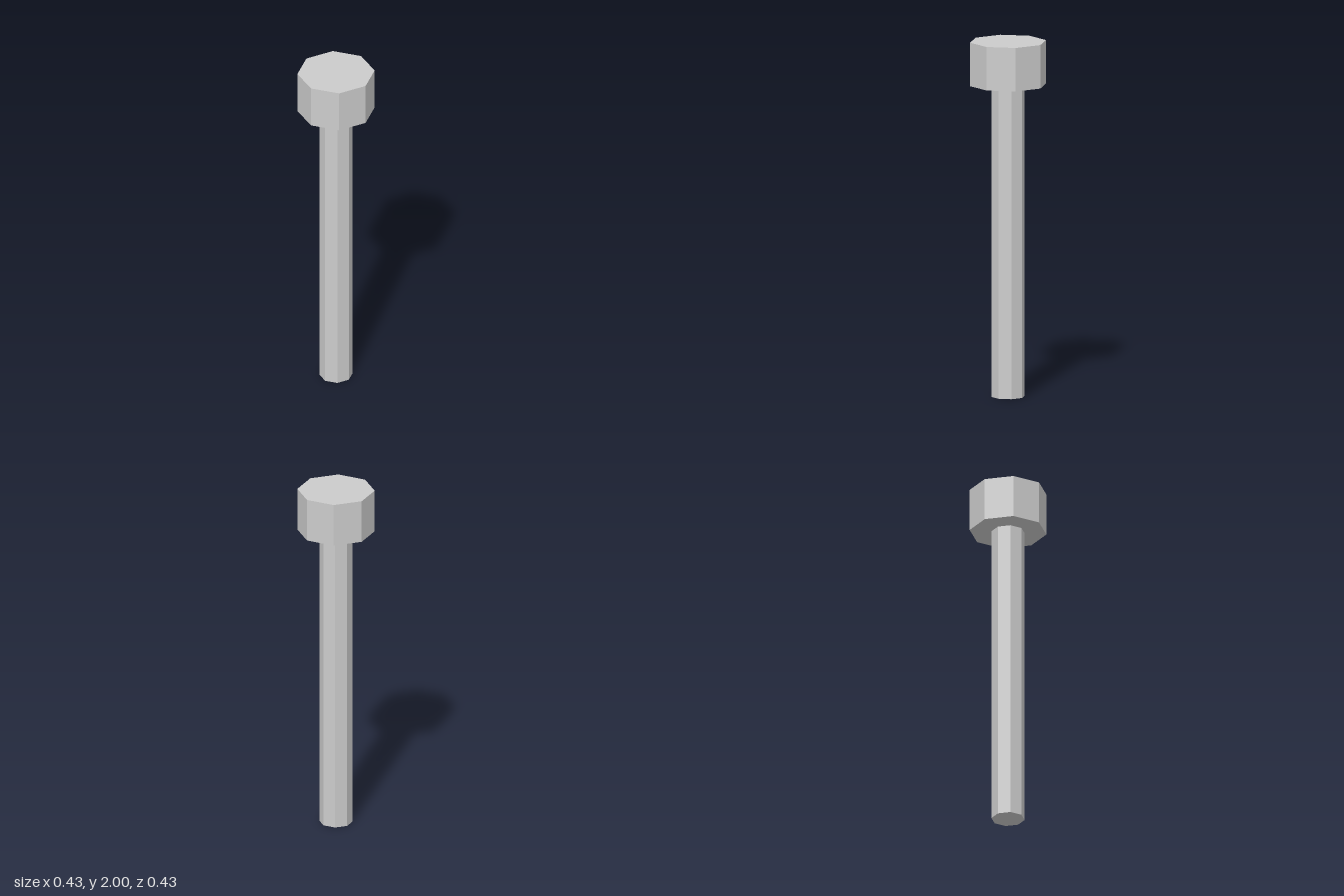
import * as THREE from 'three';

const SIDES = 8;
const TWIST = 0.063; // slight turn of the octagon about the vertical axis

export function createModel() {
  const group = new THREE.Group();
  group.name = 'bolt';
  const material = new THREE.MeshStandardMaterial({ color: 0xcccccc, flatShading: true });

  // Upright octagonal prism between two heights
  function prism(name, radius, bottom, top) {
    const geometry = new THREE.CylinderGeometry(radius, radius, top - bottom, SIDES);
    const mesh = new THREE.Mesh(geometry, material);
    mesh.name = name;
    mesh.rotation.y = TWIST;
    mesh.position.y = (bottom + top) / 2;
    group.add(mesh);
  }

  prism('shaft', 0.093, 0, 1.755);
  prism('head', 0.215, 1.755, 2);

  return group;
}
